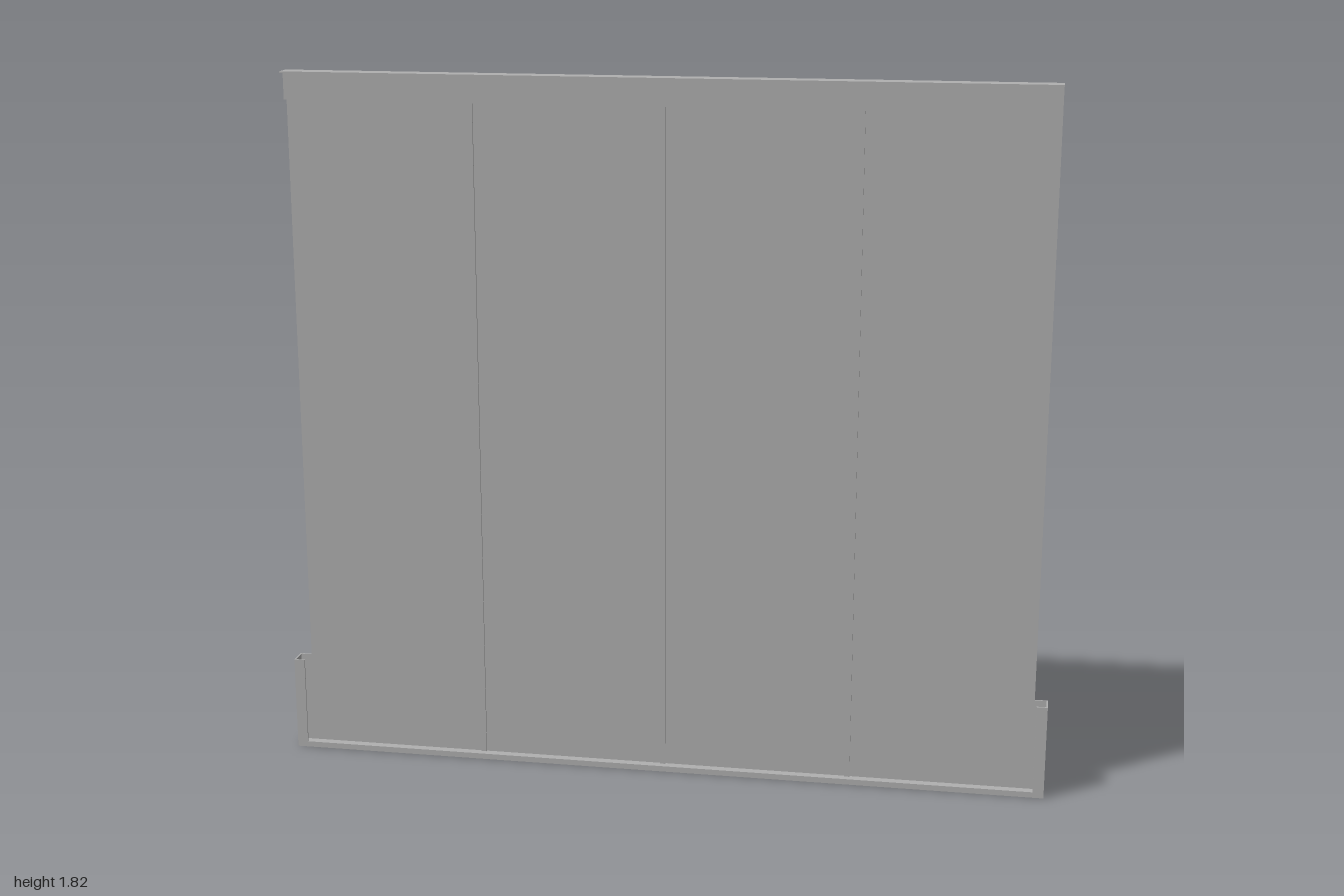
import * as THREE from 'three';

// Folded sheet-metal panel: flat back with channels folded toward the front.
export function createModel() {
  const group = new THREE.Group();
  const grey = new THREE.MeshStandardMaterial({ color: 0xb0b0b0 });
  grey.name = 'sheet grey';

  const T = 0.004;                 // sheet thickness
  const BACK = -0.025, FRONT = 0.025;
  const TOP = 1.82, EAR = 0.25;    // panel height, side flange height
  const HALF = 0.967;              // half width above the side flanges

  // box given by its two opposite corners
  function plate(name, x0, x1, y0, y1, z0, z1) {
    const mesh = new THREE.Mesh(new THREE.BoxGeometry(x1 - x0, y1 - y0, z1 - z0), grey);
    mesh.position.set((x0 + x1) / 2, (y0 + y1) / 2, (z0 + z1) / 2);
    mesh.name = name;
    group.add(mesh);
  }

  // back sheet, stepped out at the foot
  const outline = new THREE.Shape([
    [-1, 0], [1, 0], [1, EAR], [HALF, EAR], [HALF, TOP],
    [-HALF, TOP], [-HALF, EAR], [-1, EAR],
  ].map(([x, y]) => new THREE.Vector2(x, y)));
  const sheet = new THREE.Mesh(
    new THREE.ExtrudeGeometry(outline, { depth: T, bevelEnabled: false }), grey);
  sheet.position.z = BACK;
  sheet.name = 'backSheet';
  group.add(sheet);

  // top channel
  plate('topFlange', -HALF, HALF, TOP - T, TOP, BACK, FRONT);
  plate('topLip', -0.958, 0.958, 1.75, TOP, FRONT - T, FRONT);

  // bottom channel
  plate('bottomFlange', -1, 1, 0, T, BACK, FRONT);
  plate('bottomLip', -0.972, 0.972, 0, 0.015, FRONT - T, FRONT);

  // short side channels
  for (const [side, s] of [['left', 1], ['right', -1]]) {
    const span = (a, b) => (s > 0 ? [a, b] : [-b, -a]);
    plate(side + 'SideFlange', ...span(1 - T, 1), 0, EAR, BACK, FRONT);
    plate(side + 'SideLip', ...span(0.972, 1), 0, EAR, FRONT - T, FRONT);
  }

  // slim vertical ribs on the front of the sheet
  for (const x of [-0.49, 0, 0.49]) {
    plate('rib', x - 0.007, x + 0.007, T, TOP - T, BACK + T, BACK + T + 0.005);
  }

  return group;
}
